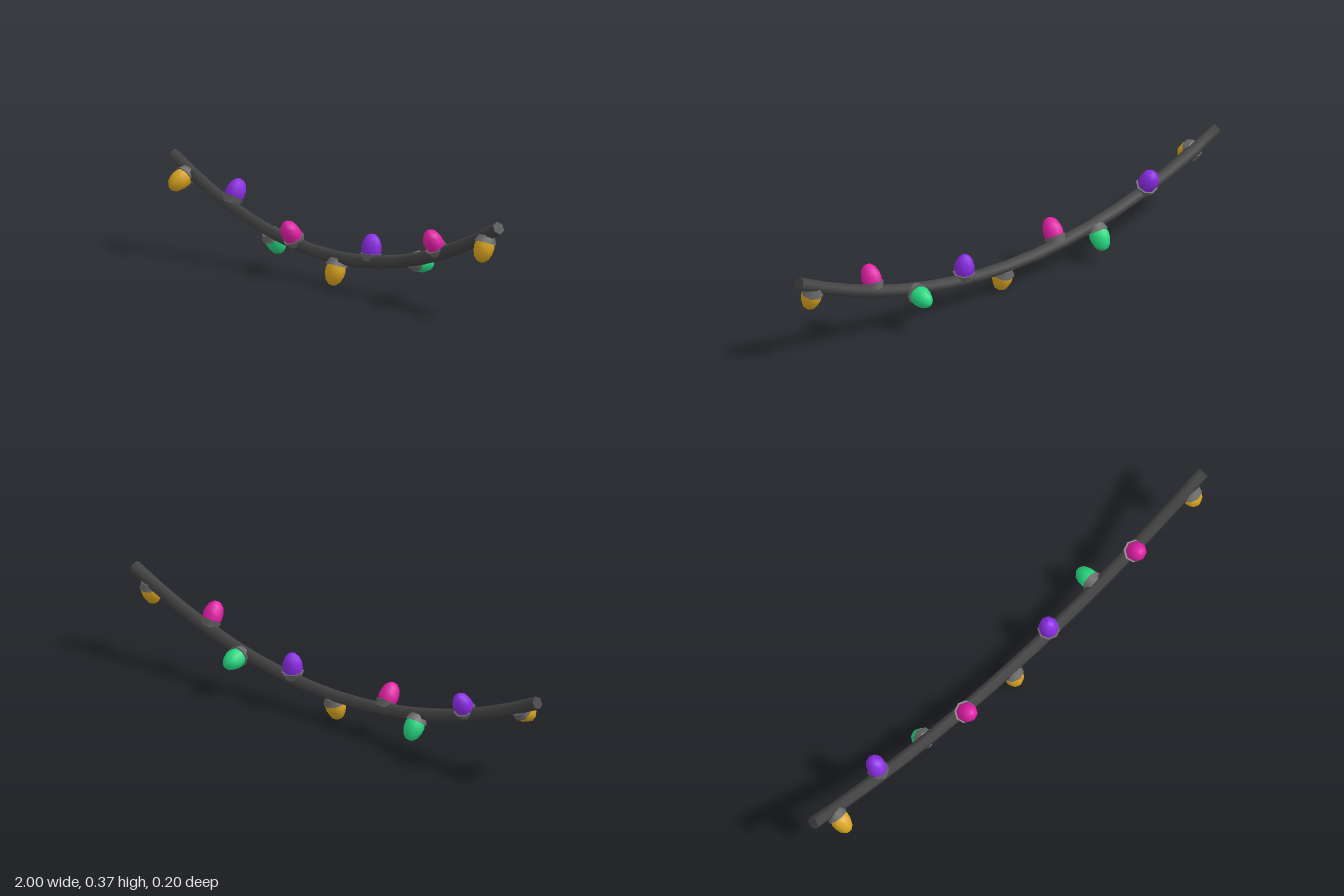
import * as THREE from 'three';
import { toCreasedNormals } from 'three/addons/utils/BufferGeometryUtils.js';

const material = (name, color) => {
  const m = new THREE.MeshStandardMaterial({ color });
  m.name = name;
  return m;
};

// height of the sagging cable at x
const CABLE_Z = 0.005;
const sag = (x) => 0.1 + 0.25 * x * x;

export function createModel() {
  const cableMat = material('darkCable', 0x424242);
  const socketMat = material('greySocket', 0x696969);
  const amber = material('amber', 0xdaa520);
  const violet = material('violet', 0x8a2be2);
  const green = material('green', 0x26d980);
  const magenta = material('magenta', 0xe01fa5);

  const model = new THREE.Group();
  model.name = 'stringLights';

  // Hexagonal cable swept along the sag, with an edge pointing up
  const points = [];
  for (let i = 0; i <= 16; i++) {
    const x = -0.99 + (1.98 * i) / 16;
    points.push(new THREE.Vector3(x, sag(x), CABLE_Z));
  }
  const hexagon = new THREE.Shape();
  for (let i = 0; i < 6; i++) {
    const a = Math.PI / 2 + (i * Math.PI) / 3;
    hexagon[i ? 'lineTo' : 'moveTo'](0.0248 * Math.cos(a), 0.0248 * Math.sin(a));
  }
  hexagon.closePath();
  const cableGeo = new THREE.ExtrudeGeometry(hexagon, {
    steps: 16,
    extrudePath: new THREE.CatmullRomCurve3(points),
  });
  const cable = new THREE.Mesh(toCreasedNormals(cableGeo, 1.2), cableMat);
  cable.name = 'cable';
  model.add(cable);

  // Flared socket and rounded bulb, both pointing along +y
  const socketGeo = toCreasedNormals(
    new THREE.CylinderGeometry(0.042, 0.03, 0.027, 8).translate(0, 0.0175, 0), 0.9);
  const bulbGeo = new THREE.LatheGeometry([
    [0.034, 0.028], [0.038, 0.045], [0.036, 0.066], [0.028, 0.088], [0.014, 0.102], [0, 0.105],
  ].map(([r, y]) => new THREE.Vector2(r, y)), 8);

  // x along the cable, lean as y and z direction, colour
  const lights = [
    [-0.89, -0.55, 0.83, amber],
    [-0.645, 0.88, -0.47, violet],
    [-0.41, -0.82, -0.57, green],
    [-0.235, 0.84, 0.54, magenta],
    [0.015, -0.96, 0.29, amber],
    [0.21, 1, -0.08, violet],
    [0.453, -0.25, -0.97, green],
    [0.627, 0.87, 0.48, magenta],
    [0.92, -0.96, 0.29, amber],
  ];
  lights.forEach(([x, dy, dz, colour], i) => {
    const light = new THREE.Group();
    light.name = `light${i + 1}`;
    const socket = new THREE.Mesh(socketGeo, socketMat);
    socket.name = 'socket';
    const bulb = new THREE.Mesh(bulbGeo, colour);
    bulb.name = 'bulb';
    light.add(socket, bulb);
    light.position.set(x, sag(x), CABLE_Z);
    light.rotation.x = Math.atan2(dz, dy);
    model.add(light);
  });

  return model;
}
